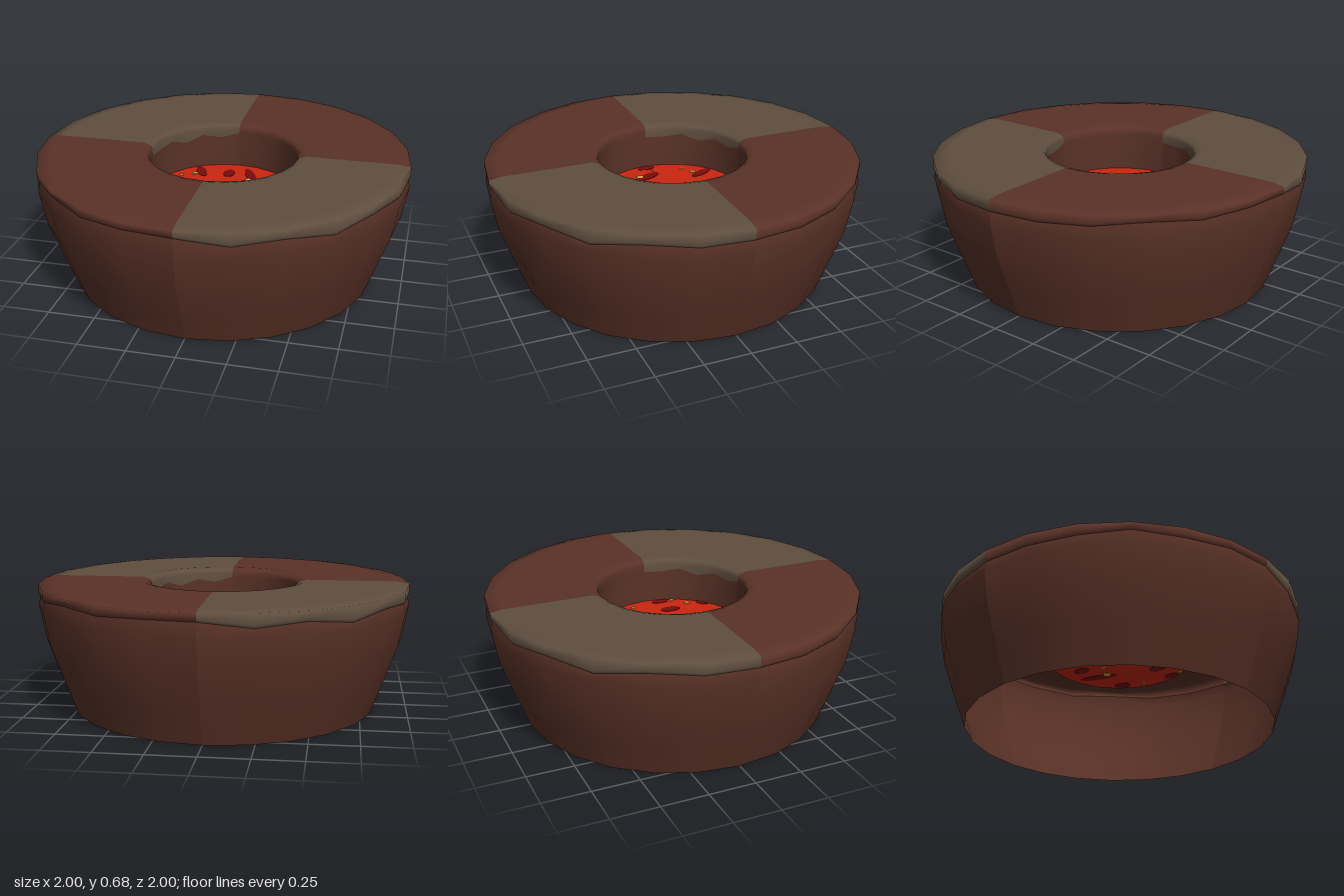
import * as THREE from 'three';

const mat = (name, color) => {
  const m = new THREE.MeshStandardMaterial({ color, side: THREE.DoubleSide });
  m.name = name;
  return m;
};

const STEPS = 6; // facets per quarter, 24 around
const DISC_Y = 0.43;

// Sweeps a profile of [radius, height] points through one quarter turn.
function sweepQuarter(quarter, profileAt) {
  const pos = [], index = [];
  let n = 0;
  for (let i = 0; i <= STEPS; i++) {
    const a = (quarter + i / STEPS) * Math.PI / 2;
    const profile = profileAt(i);
    n = profile.length;
    for (const [r, y] of profile) pos.push(r * Math.sin(a), y, r * Math.cos(a));
  }
  for (let i = 0; i < STEPS; i++) {
    for (let j = 0; j < n - 1; j++) {
      const a = i * n + j, b = a + n;
      index.push(a, b, b + 1, a, b + 1, a + 1);
    }
  }
  const g = new THREE.BufferGeometry();
  g.setAttribute('position', new THREE.Float32BufferAttribute(pos, 3));
  g.setIndex(index);
  g.computeVertexNormals();
  return g;
}

export function createModel() {
  const brown = mat('brown', 0x5a3227);
  const taupe = mat('taupe', 0x5f4e3f);
  const red = mat('red', 0xcb2610);
  const darkRed = mat('dark red', 0x780c0c);
  const yellow = mat('yellow', 0xd8a040);

  const model = new THREE.Group();
  const add = (name, geometry, material) => {
    const mesh = new THREE.Mesh(geometry, material);
    mesh.name = name;
    model.add(mesh);
    return mesh;
  };

  // Height of the wavy lower edge of each top section
  const taupeDrip = [0.63, 0.60, 0.62, 0.59, 0.62, 0.605, 0.61];
  const brownDrip = [0.61, 0.61, 0.615, 0.635, 0.62, 0.63, 0.63];

  for (let q = 0; q < 4; q++) {
    const isTaupe = q % 2 === 0;
    const drip = isTaupe ? taupeDrip : brownDrip;

    // Flared outer wall, open underneath
    add('outerWall', sweepQuarter(q, i => [
      [0.83, 0], [0.9, 0.19], [0.967, 0.38], [1, 0.56], [0.99, drip[i]],
    ]), brown);

    // Top section, lapping over the outer edge and into the hole
    add('topSection', sweepQuarter(q, i => [
      [0.99, drip[i]], [1, drip[i] + 0.015], [1, 0.672], [0.93, 0.682],
      [0.45, 0.682], [0.41, 0.67], [0.4, 0.65], [0.4, drip[i]],
    ]), isTaupe ? taupe : brown);

    // Wall of the central hole
    add('holeWall', sweepQuarter(q, i => [[0.4, drip[i]], [0.4, DISC_Y]]), brown);
  }

  // Filling at the bottom of the hole
  const filling = add('filling', new THREE.CircleGeometry(0.4, 24), red);
  filling.rotation.x = -Math.PI / 2;
  filling.position.y = DISC_Y;

  // Thin flat spot, visible on both faces of the filling
  const spot = (name, x, z, rx, rz, turn, sides, thick, material) => {
    const m = add(name, new THREE.CylinderGeometry(1, 1, thick, sides), material);
    m.scale.set(rx, 1, rz);
    m.rotation.y = turn;
    m.position.set(x, DISC_Y, z);
  };

  // Dark spots: x, z, half width, half length, turn
  const spots = [
    [-0.19, -0.26, 0.028, 0.075, 0.45], [-0.03, -0.265, 0.033, 0.052, 0],
    [0.10, -0.25, 0.028, 0.11, 0.4], [0.28, -0.225, 0.035, 0.05, 0.2],
    [-0.37, 0.01, 0.026, 0.05, 0], [-0.25, 0.05, 0.032, 0.09, 0.4],
    [-0.07, 0.045, 0.033, 0.05, 0], [0.07, 0.05, 0.03, 0.12, 0.4],
    [0.23, 0.09, 0.033, 0.06, 0], [0.36, 0.08, 0.025, 0.05, 0],
    [-0.11, 0.345, 0.033, 0.038, 0], [0.01, 0.335, 0.025, 0.06, 0.4],
    [0.25, 0.3, 0.04, 0.025, 0.6],
  ];
  for (const [x, z, rx, rz, t] of spots) spot('darkSpot', x, z, rx, rz, t, 10, 0.005, darkRed);

  // Yellow flecks: x, z, size
  const flecks = [
    [-0.29, -0.18, 0.015], [-0.22, -0.22, 0.022], [0.02, -0.14, 0.018], [0.1, -0.185, 0.025],
    [0.33, -0.1, 0.015], [0.18, -0.1, 0.01], [-0.26, 0.09, 0.024], [-0.2, 0.21, 0.018],
    [0.02, 0.14, 0.018], [0.1, 0.2, 0.014], [0.28, 0.215, 0.022], [-0.02, 0.29, 0.012],
    [0.35, 0.15, 0.016], [-0.08, -0.09, 0.009], [-0.32, -0.01, 0.009],
  ];
  flecks.forEach(([x, z, s], i) => spot('yellowFleck', x, z, s, s * 0.8, i * 0.7, 5, 0.008, yellow));

  return model;
}
